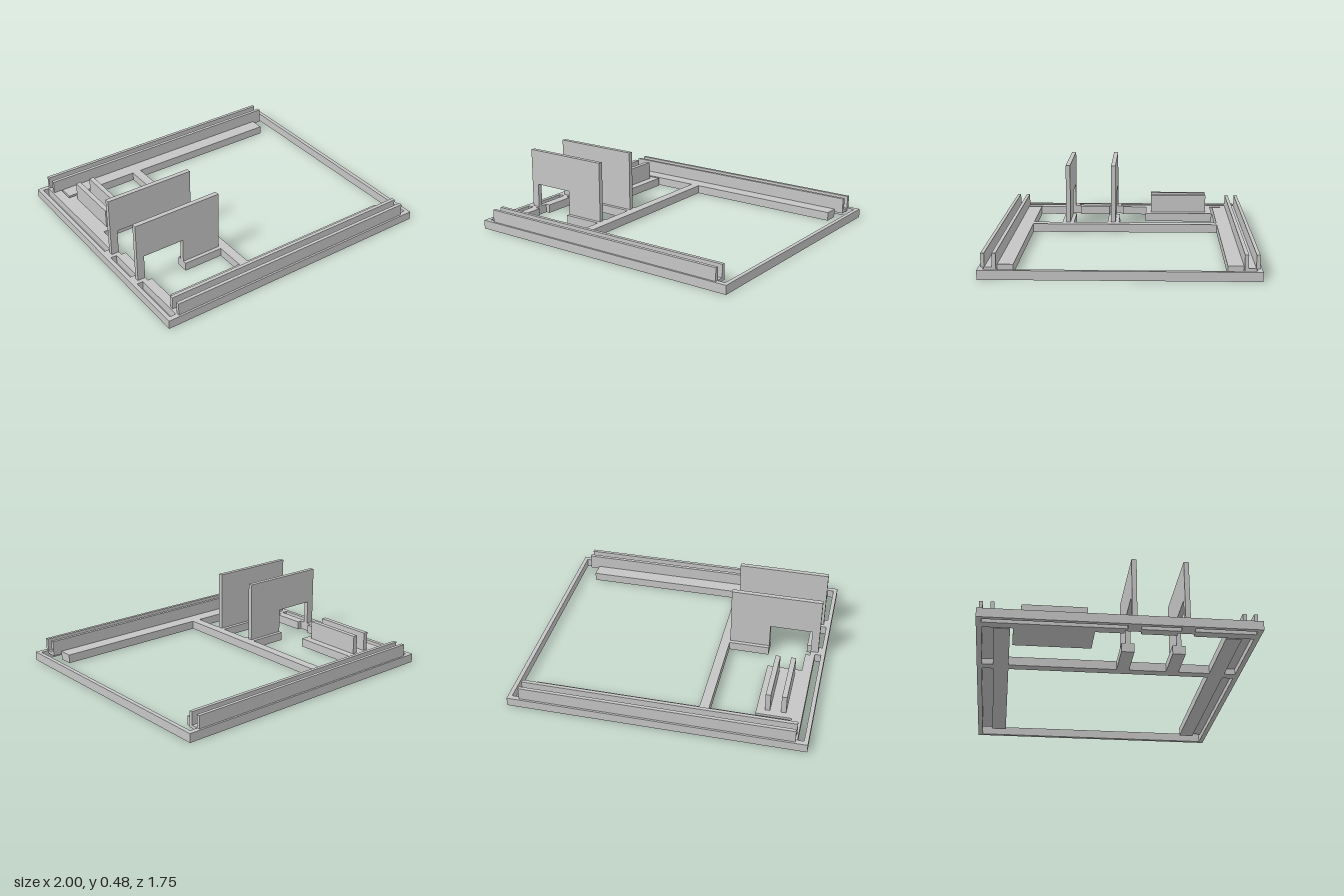
import * as THREE from 'three';

export function createModel() {
  const model = new THREE.Group();
  const grey = new THREE.MeshStandardMaterial({ color: 0xc5c5c5 });
  grey.name = 'lightGrey';
  const BASE = 0.06;

  // Box given by its limits on each axis
  function box(name, x0, x1, y0, y1, z0, z1) {
    const mesh = new THREE.Mesh(new THREE.BoxGeometry(x1 - x0, y1 - y0, z1 - z0), grey);
    mesh.position.set((x0 + x1) / 2, (y0 + y1) / 2, (z0 + z1) / 2);
    mesh.name = name;
    model.add(mesh);
  }

  // Flat outline of [a, b] points, extruded by depth
  function extrude(points, depth) {
    const shape = new THREE.Shape(points.map(([a, b]) => new THREE.Vector2(a, b)));
    return new THREE.ExtrudeGeometry(shape, { depth, bevelEnabled: false });
  }

  // Outer frame
  box('frameLeft', 0.972, 1, 0, BASE, -0.842, 0.842);
  box('frameRight', -1, -0.972, 0, BASE, -0.842, 0.842);

  // Front and back: frame bar, rail floor over an open slot, inner ledge, two upright rails
  for (const s of [1, -1]) {
    const side = s > 0 ? 'front' : 'back';
    const strip = (name, x0, x1, y0, y1, a, b) =>
      box(side + name, x0, x1, y0, y1, Math.min(s * a, s * b), Math.max(s * a, s * b));
    strip('FrameBar', -1, 1, 0, BASE, 0.842, 0.875);
    strip('RailFloor', -0.92, 0.918, 0.04, BASE, 0.768, 0.842);
    strip('Ledge', -0.855, 0.855, 0, BASE, 0.668, 0.768);
    strip('InnerRail', -0.92, 0.918, BASE, 0.147, 0.768, 0.792);
    strip('OuterRail', -0.92, 0.918, BASE, 0.147, 0.839, 0.862);
  }

  // Cross bar running under the rails to the frame
  box('crossBar', -0.325, -0.26, 0, BASE, -0.842, 0.842);

  // Side bar with notches for the panel feet
  const notches = [[0.03, 0.135], [0.36, 0.465]];
  const outline = [[-0.93, 0.842], [-0.93, -0.842], [-0.865, -0.842]];
  for (const [a, b] of notches) {
    outline.push([-0.865, a], [-0.897, a], [-0.897, b], [-0.865, b]);
  }
  outline.push([-0.865, 0.842]);
  const bar = new THREE.Mesh(extrude(outline.map(([x, z]) => [x, -z]).reverse(), BASE), grey);
  bar.rotation.x = -Math.PI / 2;
  bar.name = 'notchedSideBar';
  model.add(bar);

  // Two upright panels, each with a cut-out and a pair of feet
  const panel = [
    [-0.95, 0], [-0.897, 0], [-0.897, 0.23], [-0.605, 0.23],
    [-0.605, 0], [-0.325, 0], [-0.325, 0.48], [-0.95, 0.48],
  ];
  for (const z of [0.086, 0.417]) {
    const mesh = new THREE.Mesh(extrude(panel, 0.032), grey);
    mesh.position.z = z - 0.016;
    mesh.name = 'uprightPanel';
    model.add(mesh);
    box('wideFoot', -0.605, -0.325, 0, BASE, z - 0.042, z + 0.042);
    box('narrowFoot', -0.972, -0.897, 0, BASE, z - 0.042, z + 0.042);
  }

  // Plate with two dividers
  box('plate', -0.865, -0.628, 0, BASE, -0.65, -0.15);
  for (const x of [-0.806, -0.7]) {
    box('divider', x - 0.017, x + 0.017, BASE, 0.19, -0.605, -0.19);
  }

  return model;
}
